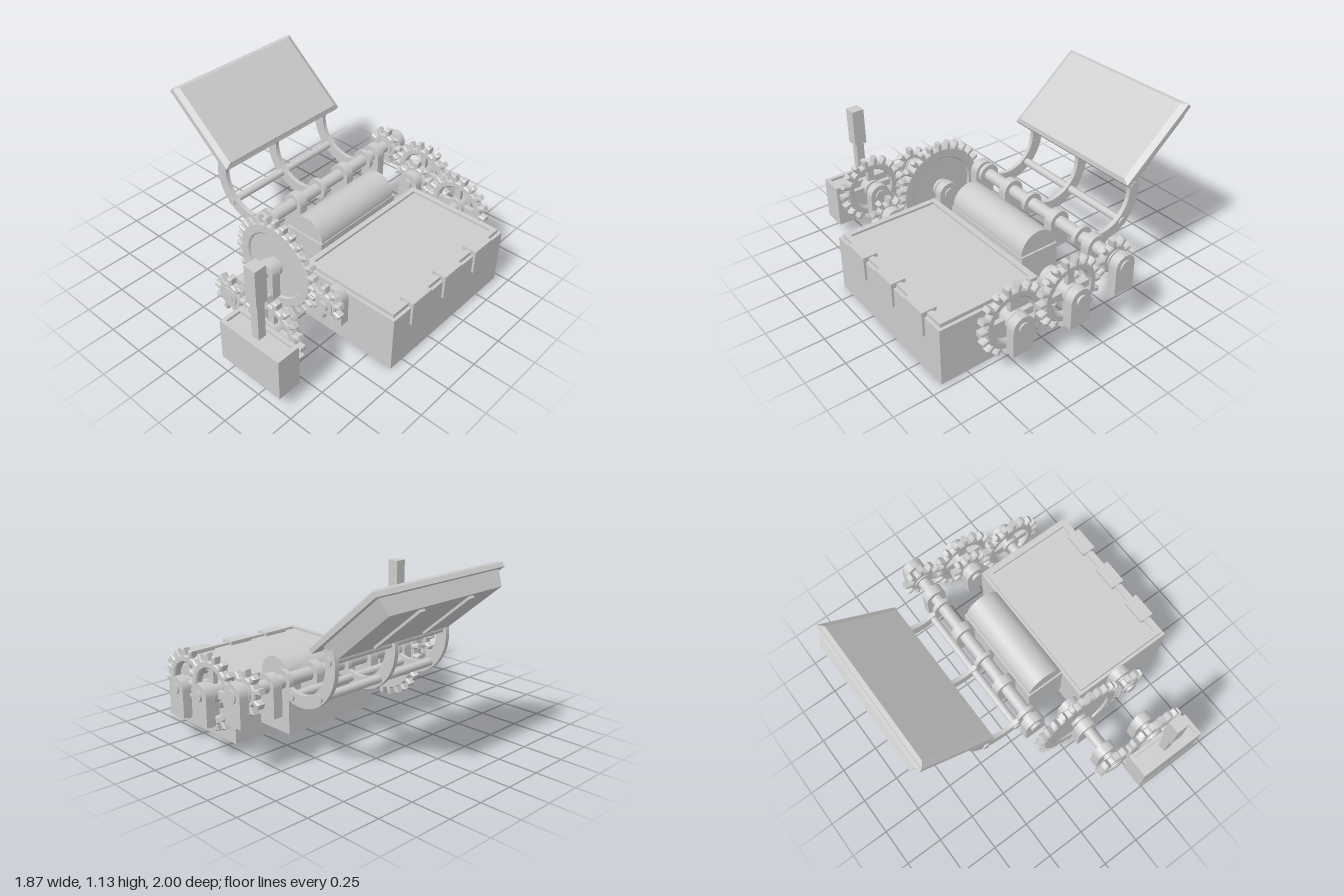
import * as THREE from 'three';
import { toCreasedNormals } from 'three/addons/utils/BufferGeometryUtils.js';

const material = new THREE.MeshStandardMaterial({ color: 0xcccccc });

export function createModel() {
  const model = new THREE.Group();

  const add = (name, geometry, x = 0, y = 0, z = 0, parent = model) => {
    const mesh = new THREE.Mesh(geometry, material);
    mesh.name = name;
    mesh.position.set(x, y, z);
    parent.add(mesh);
    return mesh;
  };

  // Box given by its limits on each axis
  const block = (name, x0, x1, y0, y1, z0, z1, parent) =>
    add(name, new THREE.BoxGeometry(x1 - x0, y1 - y0, z1 - z0),
      (x0 + x1) / 2, (y0 + y1) / 2, (z0 + z1) / 2, parent);

  // Round bar along z
  const rod = (name, x, y, z0, z1, r, parent) =>
    add(name, new THREE.CylinderGeometry(r, r, z1 - z0, 24).rotateX(Math.PI / 2), x, y, (z0 + z1) / 2, parent);

  // Flat plate centred on z, with optional chamfer
  const plate = (shape, depth, bevel = 0) => {
    const g = new THREE.ExtrudeGeometry(shape, {
      depth: depth - 2 * bevel, curveSegments: 24, bevelEnabled: bevel > 0,
      bevelSize: bevel, bevelThickness: bevel, bevelOffset: -bevel, bevelSegments: 1,
    });
    g.translate(0, 0, -depth / 2 + bevel);
    return toCreasedNormals(g, 0.5);
  };

  // Rectangular raised rim lying flat
  const rim = (name, x0, x1, z0, z1, y0, y1, wall) => {
    const w = (x1 - x0) / 2, d = (z1 - z0) / 2;
    const rect = (a, b, Type) => new Type([[-a, -b], [a, -b], [a, b], [-a, b]].map(p => new THREE.Vector2(...p)));
    const s = rect(w, d, THREE.Shape);
    s.holes.push(rect(w - wall, d - wall, THREE.Path));
    return add(name, plate(s, y1 - y0).rotateX(-Math.PI / 2), (x0 + x1) / 2, (y0 + y1) / 2, (z0 + z1) / 2);
  };

  // Box whose -y face shrinks by (inX, inZ)
  const taperedBox = (w, h, d, inX, inZ) => {
    const g = new THREE.BoxGeometry(w, h, d).toNonIndexed();
    const p = g.attributes.position;
    for (let i = 0; i < p.count; i++) {
      if (p.getY(i) < 0) {
        p.setX(i, p.getX(i) - Math.sign(p.getX(i)) * inX);
        p.setZ(i, p.getZ(i) - Math.sign(p.getZ(i)) * inZ);
      }
    }
    g.computeVertexNormals();
    return g;
  };

  // Toothed wheel: solid when hole is 0, otherwise a rim with spokes or a thin web
  const gear = (name, x, y, z, r, teeth, { hole = 0, web = false, turn = 0 } = {}) => {
    const group = new THREE.Group();
    group.name = name;
    group.position.set(x, y, z);
    group.rotation.z = turn;
    model.add(group);
    const root = r - 0.042, step = Math.PI * 2 / teeth, pts = [];
    for (let i = 0; i < teeth; i++) {
      for (const [f, rad] of [[-0.27, root], [-0.19, r], [0.19, r], [0.27, root], [0.5, root]]) {
        const a = (i + f) * step;
        pts.push(new THREE.Vector2(Math.cos(a) * rad, Math.sin(a) * rad));
      }
    }
    const s = new THREE.Shape(pts);
    if (hole) s.holes.push(new THREE.Path().absarc(0, 0, hole, 0, Math.PI * 2, true));
    add('toothedRim', plate(s, 0.052, 0.008), 0, 0, 0, group);
    rod('hub', 0, 0, -0.035, 0.035, 0.06, group);
    if (web) rod('web', 0, 0, -0.012, 0.012, hole + 0.01, group);
    else if (hole) {
      for (let i = 0; i < 4; i++) {
        const spoke = add('spoke', new THREE.BoxGeometry(hole * 2 + 0.02, 0.045, 0.03), 0, 0, 0, group);
        spoke.rotation.z = i * Math.PI / 4;
        if (i % 2) group.remove(spoke);
      }
    }
  };

  // Arched pedestal holding a shaft
  const pedestal = new THREE.Shape();
  pedestal.moveTo(-0.07, -0.175);
  pedestal.lineTo(0.07, -0.175);
  pedestal.lineTo(0.07, 0);
  pedestal.absarc(0, 0, 0.07, 0, Math.PI, false);
  pedestal.closePath();
  const pedestalGeometry = plate(pedestal, 0.06);

  const shaft = (name, x, y, z0, z1, r, bearings) => {
    rod(name, x, y, z0, z1, r);
    for (const z of bearings) add('bearing', pedestalGeometry, x, y, z);
  };

  // Main chest with rimmed top and wrap-over clips
  block('chestBody', 0.22, 0.92, 0, 0.375, -0.71, 0.355);
  block('chestPanel', 0.27, 0.88, 0.37, 0.385, -0.66, 0.305);
  rim('chestRim', 0.24, 0.9, -0.69, 0.335, 0.37, 0.4, 0.035);
  for (const z of [-0.485, -0.18, 0.12]) {
    block('clipTop', 0.84, 0.935, 0.385, 0.41, z - 0.085, z + 0.085);
    block('clipSide', 0.905, 0.935, 0.25, 0.41, z - 0.085, z + 0.085);
  }

  // Roller housing with rounded top
  block('rollerHousing', -0.05, 0.215, 0.09, 0.41, -0.52, 0.175);
  rod('roller', 0.085, 0.415, -0.508, 0.165, 0.125);

  // Lever box
  block('leverBox', 0.215, 0.67, 0.095, 0.36, 0.845, 1);
  rim('leverBoxRim', 0.215, 0.67, 0.845, 1, 0.36, 0.377, 0.026);
  block('leverStem', 0.415, 0.468, 0.34, 0.63, 0.893, 0.946);
  block('leverHandle', 0.4, 0.482, 0.62, 0.862, 0.882, 0.963);

  // Shafts and bearings
  shaft('mainShaft', -0.14, 0.475, -1, 0.38, 0.04, [-0.96, -0.73, -0.41, 0.03, 0.33]);
  shaft('rearIdlerShaft', 0.18, 0.39, -1, -0.69, 0.035, [-0.955, -0.74]);
  shaft('rearChestShaft', 0.52, 0.33, -0.925, -0.65, 0.035, [-0.885]);
  shaft('frontChestShaft', 0.52, 0.335, 0.3, 0.51, 0.035, [0.385]);
  shaft('frontIdlerShaft', 0.117, 0.385, 0.335, 0.85, 0.035, [0.375, 0.535, 0.725]);
  shaft('leverShaft', 0.437, 0.325, 0.67, 0.9, 0.035, [0.71]);

  // Gear trains
  gear('mainPinion', -0.14, 0.475, -0.88, 0.13, 9, { turn: 0.1 });
  gear('rearIdlerGear', 0.18, 0.39, -0.88, 0.227, 18, { hole: 0.14 });
  gear('rearIdlerPinion', 0.18, 0.39, -0.81, 0.128, 9, { turn: 0.17 });
  gear('rearChestGear', 0.52, 0.33, -0.81, 0.227, 18, { hole: 0.14 });
  gear('bigGear', 0.117, 0.383, 0.458, 0.325, 28, { hole: 0.215, web: true });
  gear('frontChestPinion', 0.52, 0.335, 0.458, 0.118, 9, { turn: 0.3 });
  gear('frontIdlerPinion', 0.117, 0.385, 0.81, 0.13, 9, { turn: 0.15 });
  gear('leverGear', 0.437, 0.325, 0.805, 0.227, 18, { hole: 0.14 });

  // Curved arms carrying the lid, tied by cross rods
  const a0 = Math.PI * 0.86, a1 = Math.PI * 1.64;
  const arm = new THREE.Shape();
  arm.absarc(-0.29, 0.65, 0.287, a0, a1, false);
  arm.absarc(-0.29, 0.65, 0.212, a1, a0, true);
  arm.closePath();
  const armGeometry = plate(arm, 0.028);
  for (const z of [-0.63, -0.175, 0.265]) {
    add('lidArm', armGeometry, 0, 0, z);
    rod('armBoss', -0.14, 0.475, z - 0.014, z + 0.014, 0.07);
  }
  for (const [x, y] of [[-0.53, 0.685], [-0.455, 0.46], [-0.225, 0.41]]) {
    rod('crossRod', x, y, -0.655, 0.29, 0.025);
  }

  // Tilted lid: chamfered panel over a tapered tray
  const lid = new THREE.Group();
  lid.name = 'lid';
  lid.position.set(-0.66, 0.93, -0.177);
  lid.rotation.z = -Math.PI * 40 / 180;
  model.add(lid);
  add('lidPlate', new THREE.BoxGeometry(0.6, 0.03, 1.025), 0, -0.01, 0, lid);
  add('lidPanel', taperedBox(0.595, 0.02, 1.02, 0.02, 0.035).rotateX(Math.PI), 0, 0.015, 0, lid);
  add('lidTray', taperedBox(0.51, 0.1, 0.96, 0.02, 0.03), -0.025, -0.07, 0, lid);
  for (const z of [-0.195, 0.2]) {
    block('lidRunner', -0.24, 0.17, -0.135, -0.11, z - 0.02, z + 0.02, lid);
  }

  return model;
}
